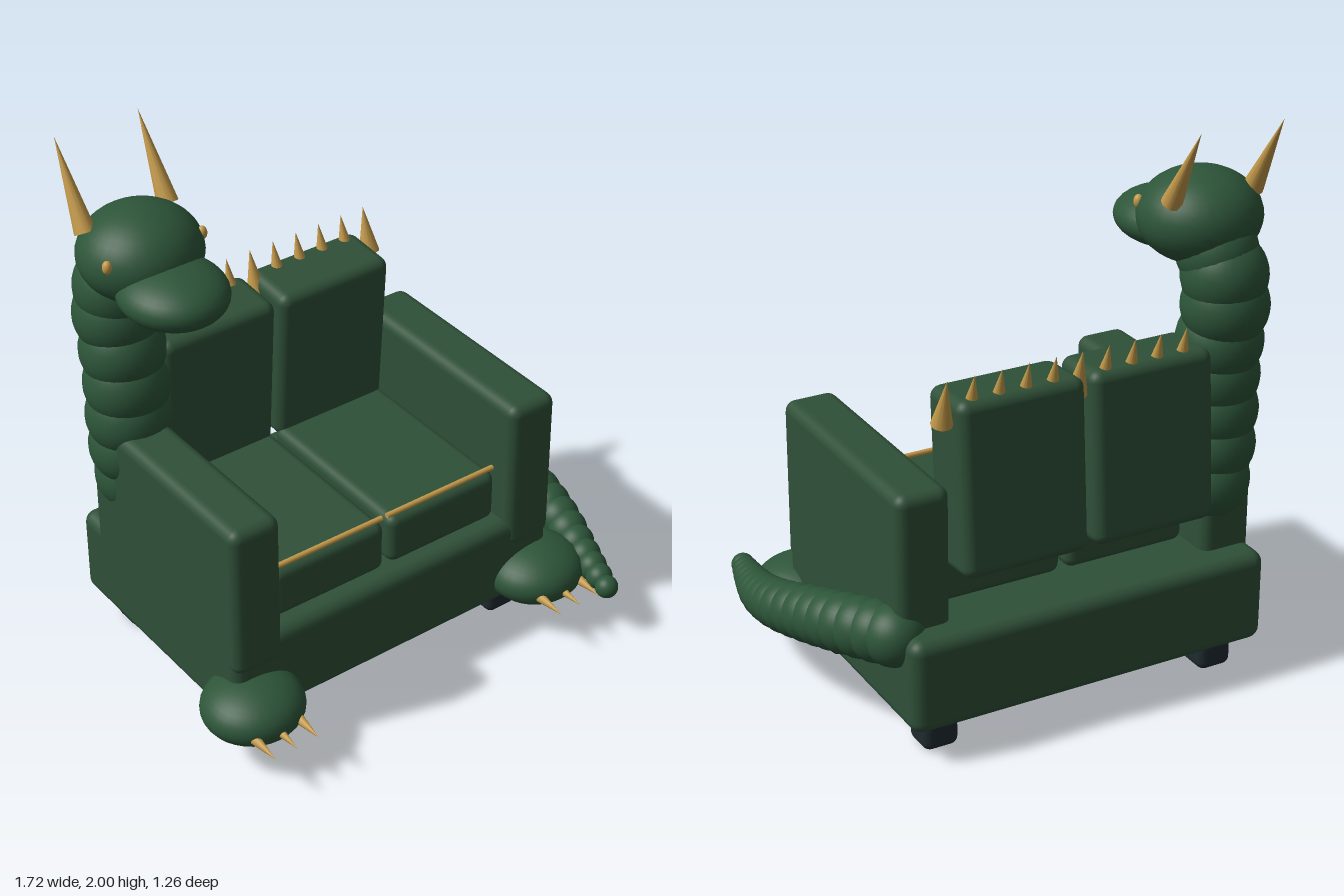
import * as THREE from 'three';
import { RoundedBoxGeometry } from 'three/addons/geometries/RoundedBoxGeometry.js';

const mat = (name, color) => Object.assign(new THREE.MeshStandardMaterial({ color }), { name });

export function createModel() {
  const model = new THREE.Group();
  model.name = 'dragonSofa';
  const fabric = mat('greenFabric', 0x2f5038);
  const scales = mat('greenScales', 0x2d5539);
  const gold = mat('gold', 0xc49a4a);
  const dark = mat('darkLeg', 0x1f2a30);

  const add = (name, geo, material, x, y, z, parent = model) => {
    const mesh = new THREE.Mesh(geo, material);
    mesh.name = name;
    mesh.position.set(x, y, z);
    parent.add(mesh);
    return mesh;
  };
  const box = (name, w, h, d, r, material, x, y, z) =>
    add(name, new RoundedBoxGeometry(w, h, d, 3, r), material, x, y, z);
  const ellipsoid = (name, rx, ry, rz, material, x, y, z, parent) =>
    add(name, new THREE.SphereGeometry(1, 32, 20).scale(rx, ry, rz), material, x, y, z, parent);
  // cone running from a base centre to a tip
  const spike = (name, r, base, tip) => {
    const a = new THREE.Vector3(...base), b = new THREE.Vector3(...tip);
    const dir = b.clone().sub(a);
    const mid = a.clone().add(b).multiplyScalar(0.5);
    const m = add(name, new THREE.ConeGeometry(r, dir.length(), 12), gold, mid.x, mid.y, mid.z);
    m.quaternion.setFromUnitVectors(new THREE.Vector3(0, 1, 0), dir.normalize());
  };
  // overlapping balls along a curve; each point is x, y, z, radius
  const chain = (name, points, count) => {
    const group = new THREE.Group();
    group.name = name;
    model.add(group);
    const curve = new THREE.CatmullRomCurve3(points.map(p => new THREE.Vector3(p[0], p[1], p[2])));
    for (let i = 0; i < count; i++) {
      const t = i / (count - 1), p = curve.getPoint(t);
      const s = t * (points.length - 1), k = Math.min(Math.floor(s), points.length - 2);
      const r = THREE.MathUtils.lerp(points[k][3], points[k + 1][3], s - k);
      ellipsoid(name + 'Segment', r, r, r, scales, p.x, p.y, p.z, group);
    }
  };

  // Sofa body
  const cx = -0.065;
  box('base', 1.36, 0.34, 0.975, 0.045, fabric, cx, 0.29, -0.147);
  for (const s of [-1, 1]) {
    box('arm', 0.195, 0.6, 0.88, 0.04, fabric, cx + s * 0.583, 0.645, -0.092);
    const x = cx + s * 0.2435;
    box('seatCushion', 0.465, 0.195, 0.70, 0.035, fabric, x, 0.5575, -0.07);
    box('backCushion', 0.465, 0.615, 0.235, 0.04, fabric, x, 0.93, -0.474).rotation.x = 0.07;
    add('piping', new THREE.CylinderGeometry(0.01, 0.01, 0.465, 8).rotateZ(Math.PI / 2), gold, x, 0.665, 0.255);
    for (const z of [0.207, -0.495])
      box('leg', 0.13, 0.2, 0.13, 0.03, dark, cx + s * 0.54, 0.1, z);
  }

  // Spikes along the back
  for (let i = 0; i < 10; i++) {
    const x = -0.44 + i * 0.0983;
    spike('backSpike', 0.037, [x, 1.165, -0.51], [x, 1.33, -0.55]);
  }

  // Clawed feet
  for (const x of [-0.683, 0.553]) {
    ellipsoid('foot', 0.183, 0.108, 0.178, scales, x, 0.212, 0.342);
    for (const dx of [-0.088, 0, 0.088])
      spike('claw', 0.023, [x + dx, 0.2, 0.46], [x + dx, 0.197, 0.6]);
  }

  // Neck
  chain('neck', [
    [-0.62, 0.70, -0.44, 0.145], [-0.637, 0.88, -0.435, 0.152], [-0.637, 1.06, -0.435, 0.152],
    [-0.637, 1.24, -0.455, 0.15], [-0.637, 1.42, -0.478, 0.152], [-0.62, 1.53, -0.44, 0.14],
  ], 8);

  // Head
  const hx = -0.605;
  ellipsoid('head', 0.215, 0.162, 0.207, scales, hx, 1.632, -0.353);
  ellipsoid('snout', 0.183, 0.097, 0.2, scales, hx, 1.567, -0.165);
  for (const s of [-1, 1]) {
    ellipsoid('eye', 0.017, 0.024, 0.017, gold, hx + s * 0.181, 1.677, -0.26);
    spike('horn', 0.037, [hx + s * 0.158, 1.72, -0.425], [hx + s * 0.158, 2.0, -0.582]);
  }

  // Tail curling forward along the side
  chain('tail', [
    [0.60, 0.425, -0.465, 0.108], [0.68, 0.40, -0.29, 0.105], [0.73, 0.362, -0.12, 0.1],
    [0.765, 0.315, 0.07, 0.09], [0.757, 0.268, 0.25, 0.078], [0.722, 0.23, 0.43, 0.06],
    [0.688, 0.207, 0.585, 0.042],
  ], 18);

  return model;
}
